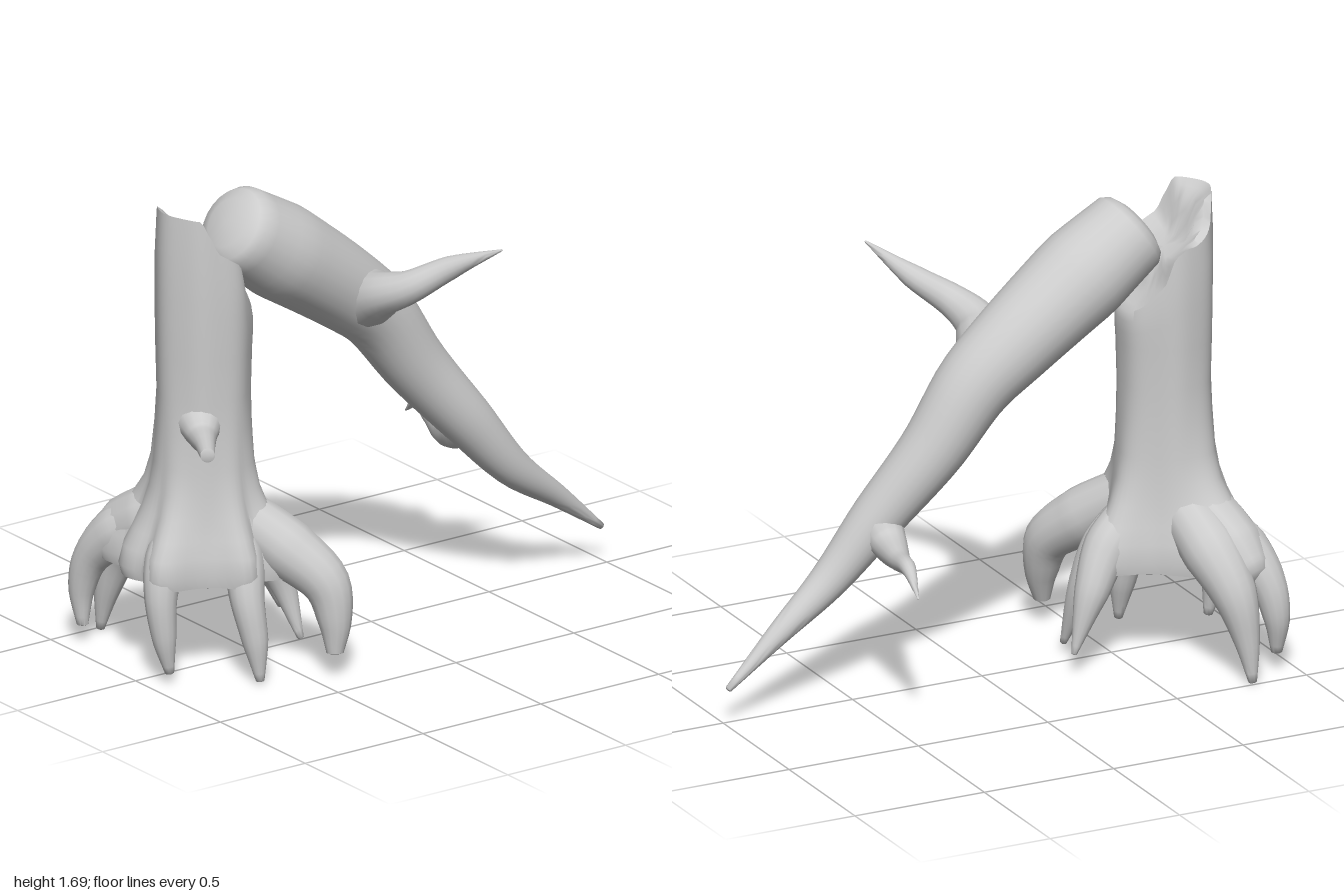
import * as THREE from 'three';
import { toCreasedNormals } from 'three/addons/utils/BufferGeometryUtils.js';

const material = new THREE.MeshStandardMaterial({ color: 0xcccccc, side: THREE.DoubleSide });

// Skin a list of closed rings of points
function loft(name, rings, crease = 0.9) {
  const n = rings[0].length, index = [];
  for (let i = 0; i < rings.length - 1; i++)
    for (let j = 0; j < n; j++) {
      const a = i * n + j, b = i * n + (j + 1) % n;
      index.push(a, b, a + n, b, b + n, a + n);
    }
  const geo = new THREE.BufferGeometry().setFromPoints(rings.flat());
  geo.setIndex(index);
  const mesh = new THREE.Mesh(toCreasedNormals(geo, crease), material);
  mesh.name = name;
  return mesh;
}

// Tapered limb through points [x, y, z, radius], with domed ends
function limb(name, pts, { sides = 14, steps = 24, dome = 0, tip = 0.004 } = {}) {
  const curve = new THREE.CatmullRomCurve3(pts.map(p => new THREE.Vector3(p[0], p[1], p[2])));
  const frames = curve.computeFrenetFrames(steps);
  const ring = (i, scale, push) => {
    const u = i / steps, t = curve.getUtoTmapping(u) * (pts.length - 1);
    const k = Math.min(Math.floor(t), pts.length - 2);
    const r = THREE.MathUtils.lerp(pts[k][3], pts[k + 1][3], t - k) * scale;
    const c = curve.getPointAt(u).addScaledVector(frames.tangents[i], push);
    return Array.from({ length: sides }, (_, j) => {
      const a = j / sides * Math.PI * 2;
      return c.clone().addScaledVector(frames.normals[i], r * Math.cos(a))
        .addScaledVector(frames.binormals[i], r * Math.sin(a));
    });
  };
  const rings = [ring(0, 0, -dome), ring(0, 0.6, -dome * 0.85), ring(0, 0.88, -dome * 0.5)];
  for (let i = 0; i <= steps; i++) rings.push(ring(i, 1, 0));
  rings.push(ring(steps, 0.75, tip * 0.65), ring(steps, 0, tip));
  return loft(name, rings);
}

// Piecewise linear lookup in [[x, y], ...]
function lookup(table, x) {
  if (x <= table[0][0]) return table[0][1];
  for (let i = 1; i < table.length; i++)
    if (x <= table[i][0]) return THREE.MathUtils.mapLinear(x, table[i - 1][0], table[i][0], table[i - 1][1], table[i][1]);
  return table[table.length - 1][1];
}

function stump() {
  const cx = -0.03, cz = 0.69, n = 72;
  // Broken rim: narrow splinter at the front, falling away to the back
  const rimByZ = [[0.5, 1.25], [0.56, 1.31], [0.62, 1.39], [0.65, 1.49], [0.74, 1.55], [0.785, 1.67], [0.87, 1.68]];
  const rimByX = [[-0.19, 1.52], [-0.135, 1.59], [-0.115, 1.68], [0.1, 1.68], [0.12, 1.59], [0.15, 1.52]];
  // Buttresses: [degrees towards the front, width, strength]
  const lobes = [[0, 16, 0.5], [-38, 18, 1], [68, 18, 0.75], [112, 26, 0.65], [152, 27, 1.5], [256, 20, 0.75]];
  const flare = deg => lobes.reduce((m, [at, w, s]) => {
    const d = ((deg - at + 540) % 360) - 180;
    return Math.max(m, s * Math.exp(-((d / w) ** 2)));
  }, 0);
  const ring = (radius, lobe, height, top = 0) => Array.from({ length: n }, (_, j) => {
    const a = j / n * Math.PI * 2, deg = -a * 180 / Math.PI;
    const ripple = 1 + 0.015 * Math.sin(a * 7) + 0.012 * Math.sin(a * 4 + 1);
    const r = radius * ripple + lobe * flare(deg);
    const x = cx + r * Math.cos(a), z = cz - r * Math.sin(a);
    const rim = Math.min(lookup(rimByZ, z), lookup(rimByX, x));
    return new THREE.Vector3(x, THREE.MathUtils.lerp(height, rim, top), z);
  });
  return loft('stump', [
    // underside
    ring(0, 0, 0.37), ring(0.13, 0, 0.35), ring(0.19, 0.08, 0.335),
    // flared foot
    ring(0.215, 0.122, 0.345), ring(0.22, 0.13, 0.385), ring(0.212, 0.118, 0.45), ring(0.198, 0.09, 0.51),
    ring(0.186, 0.055, 0.58), ring(0.176, 0.028, 0.66), ring(0.169, 0.014, 0.75), ring(0.165, 0.006, 0.88),
    // trunk up to the broken rim
    ring(0.164, 0, 1.0), ring(0.168, 0, 1.15), ring(0.171, 0, 1.15, 0.4), ring(0.171, 0, 1.15, 0.75),
    ring(0.165, 0, 1.15, 1),
    // broken face, slightly hollow
    ring(0.14, 0, 1.2, 0.96), ring(0.11, 0, 1.2, 0.92), ring(0.08, 0, 1.2, 0.9), ring(0.04, 0, 1.2, 0.89), ring(0, 0, 1.2, 0.88)
  ], 0.8);
}

export function createModel() {
  const model = new THREE.Group();
  model.add(stump());

  // Clawed roots
  const roots = {
    rootLeft: [[0, 0.6, 0.68, 0.07], [0.15, 0.44, 0.66, 0.075], [0.215, 0.29, 0.68, 0.06], [0.25, 0.14, 0.67, 0.045], [0.27, 0.01, 0.665, 0.015]],
    rootBackLeft: [[0, 0.6, 0.65, 0.09], [0.2, 0.44, 0.5, 0.105], [0.315, 0.33, 0.42, 0.086], [0.355, 0.2, 0.41, 0.06], [0.37, 0.09, 0.42, 0.03]],
    rootFront: [[-0.02, 0.6, 0.73, 0.08], [0.035, 0.43, 0.89, 0.08], [0.06, 0.33, 0.935, 0.06], [0.08, 0.16, 0.935, 0.042], [0.09, 0.04, 0.92, 0.016]],
    rootFrontRight: [[-0.09, 0.56, 0.73, 0.08], [-0.3, 0.43, 0.85, 0.095], [-0.39, 0.32, 0.905, 0.066], [-0.42, 0.2, 0.925, 0.048], [-0.41, 0.07, 0.93, 0.02]],
    rootRight: [[-0.08, 0.58, 0.7, 0.09], [-0.31, 0.44, 0.73, 0.105], [-0.415, 0.31, 0.765, 0.08], [-0.46, 0.15, 0.79, 0.046], [-0.485, 0.005, 0.8, 0.015]],
    rootBackOuter: [[-0.04, 0.6, 0.65, 0.08], [-0.075, 0.43, 0.45, 0.085], [-0.12, 0.28, 0.36, 0.06], [-0.14, 0.08, 0.285, 0.01]],
    rootBackInner: [[-0.03, 0.58, 0.64, 0.08], [-0.03, 0.42, 0.46, 0.08], [0, 0.26, 0.39, 0.055], [0.07, 0.04, 0.35, 0.012]]
  };
  for (const [name, pts] of Object.entries(roots)) model.add(limb(name, pts));

  // Thick shoulder joining the two right-hand roots
  model.add(limb('rootShoulder', [[-0.06, 0.56, 0.72, 0.11], [-0.2, 0.49, 0.78, 0.125], [-0.31, 0.425, 0.815, 0.115], [-0.385, 0.365, 0.84, 0.08]], { tip: 0.04 }));

  // Short broken twig on the stump
  model.add(limb('stumpTwig', [[0.035, 0.92, 0.75, 0.11], [0.085, 0.905, 0.783, 0.07], [0.125, 0.893, 0.806, 0.05], [0.21, 0.898, 0.855, 0.035], [0.3, 0.9, 0.91, 0.026]]));

  // Fallen upper trunk leaning backwards from the stump
  model.add(limb('fallenTrunk', [
    [-0.035, 1.56, 0.55, 0.152], [-0.042, 1.43, 0.36, 0.172], [-0.06, 1.23, 0.08, 0.15], [-0.06, 1.11, -0.06, 0.135],
    [-0.045, 0.89, -0.215, 0.115], [0, 0.65, -0.41, 0.093], [0.02, 0.45, -0.58, 0.068], [0, 0.29, -0.79, 0.04], [-0.02, 0.13, -0.99, 0.012]
  ], { sides: 24, steps: 40, dome: 0.05 }));

  // Branches of the fallen trunk
  model.add(limb('branchLeft', [[-0.06, 1.18, 0.02, 0.12], [0.055, 1.22, 0.035, 0.1], [0.13, 1.255, 0.045, 0.078], [0.23, 1.3, 0.01, 0.06], [0.33, 1.38, -0.1, 0.042], [0.49, 1.47, -0.2, 0.004]]));
  model.add(limb('branchRight', [[0, 0.65, -0.41, 0.09], [-0.09, 0.59, -0.405, 0.064], [-0.24, 0.585, -0.44, 0.038], [-0.37, 0.6, -0.47, 0.026], [-0.47, 0.53, -0.485, 0.003]]));

  return model;
}
